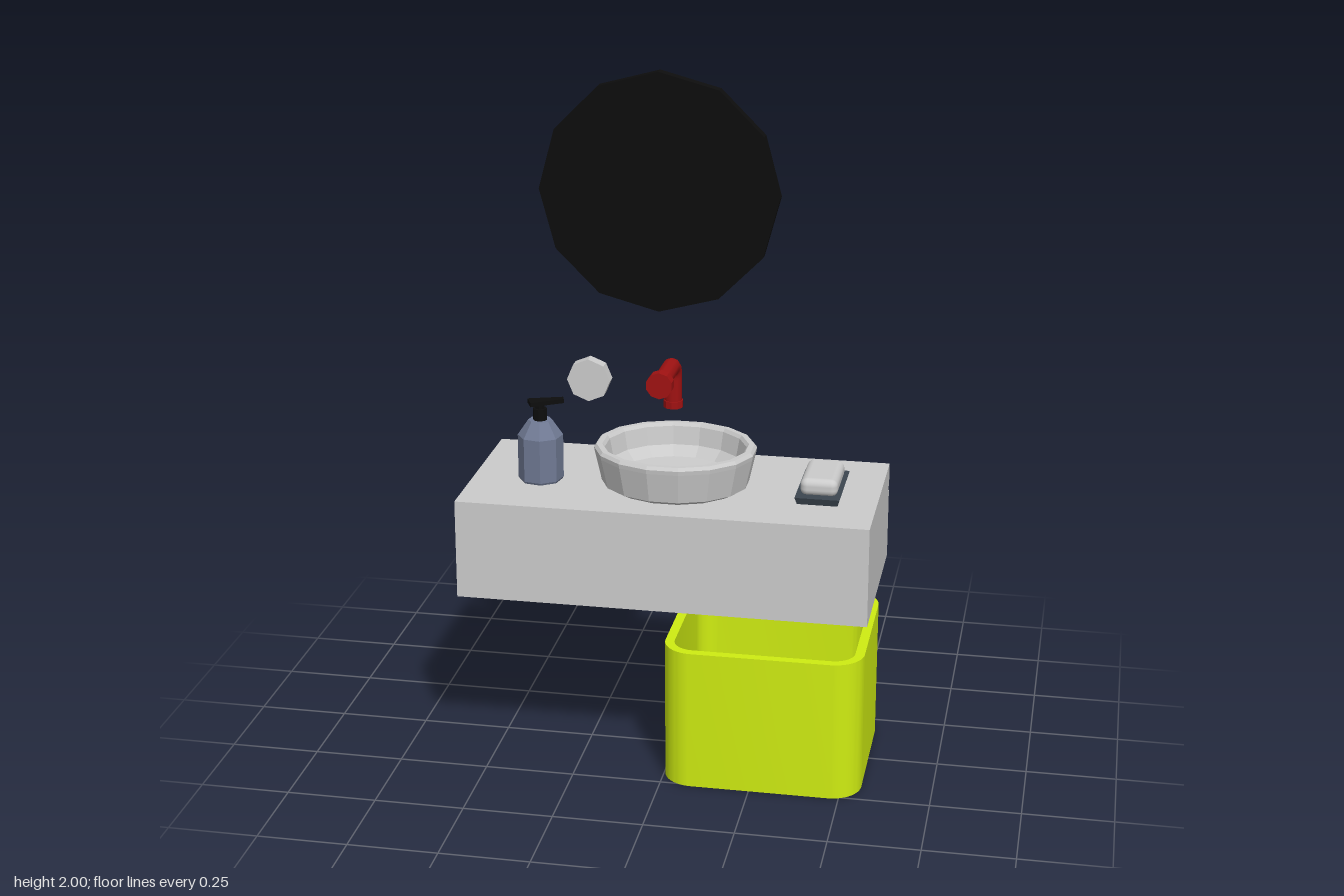
import * as THREE from 'three';
import { toCreasedNormals } from 'three/addons/utils/BufferGeometryUtils.js';
import { RoundedBoxGeometry } from 'three/addons/geometries/RoundedBoxGeometry.js';

const material = (color, flatShading = true) =>
  new THREE.MeshStandardMaterial({ color, flatShading });

const GREY = material(0xcccccc);
const SMOOTH_GREY = material(0xcccccc, false);
const BLACK = material(0x0d0d0d);
const RED = material(0xa01212);
const SMOOTH_RED = material(0xa01212, false);
const SLATE = material(0x707a94);
const DARK = material(0x3c4650);
const GLASS = material(0x237399);
const LIME = material(0xcfed12, false);

const part = (parent, name, geometry, mat, x = 0, y = 0, z = 0) => {
  const mesh = new THREE.Mesh(geometry, mat);
  mesh.name = name;
  mesh.position.set(x, y, z);
  parent.add(mesh);
  return mesh;
};

const group = (parent, name) => {
  const g = new THREE.Group();
  g.name = name;
  parent.add(g);
  return g;
};

// Box given by its lower and upper corners
const block = (parent, name, mat, a, b) =>
  part(parent, name, new THREE.BoxGeometry(b[0] - a[0], b[1] - a[1], b[2] - a[2]), mat,
    (a[0] + b[0]) / 2, (a[1] + b[1]) / 2, (a[2] + b[2]) / 2);

const lathe = (points, sides, phase = 0) =>
  new THREE.LatheGeometry(points.map(p => new THREE.Vector2(...p)), sides, phase);

const roundedRect = (target, w, d, r) => {
  const x = w / 2, y = d / 2;
  target.moveTo(-x + r, -y);
  target.lineTo(x - r, -y);
  target.absarc(x - r, -y + r, r, -Math.PI / 2, 0);
  target.lineTo(x, y - r);
  target.absarc(x - r, y - r, r, 0, Math.PI / 2);
  target.lineTo(-x + r, y);
  target.absarc(-x + r, y - r, r, Math.PI / 2, Math.PI);
  target.lineTo(-x, -y + r);
  target.absarc(-x + r, -y + r, r, Math.PI, Math.PI * 1.5);
  return target;
};

// Upright prism from a plan shape (shape y runs towards -z)
const prism = (shape, depth) => new THREE.ExtrudeGeometry(shape,
  { depth, bevelEnabled: false, curveSegments: 8 }).rotateX(-Math.PI / 2);

function addCabinet(root) {
  const g = group(root, 'cabinet');
  block(g, 'countertop', GREY, [-0.568, 0.735, -0.26], [0.566, 0.8, 0.256]);
  block(g, 'cabinetBody', GREY, [-0.568, 0.52, -0.244], [0.566, 0.735, 0.256]);
  block(g, 'rightDrawer', GREY, [-0.568, 0.52, -0.26], [-0.007, 0.719, -0.244]);
  block(g, 'leftDrawer', GREY, [0.007, 0.52, -0.26], [0.566, 0.719, -0.244]);
}

function addBasin(root) {
  const g = group(root, 'basin');
  const bowl = lathe([
    [0, 0.802], [0.18, 0.802], [0.205, 0.815], [0.224, 0.9], [0.226, 0.912], [0.219, 0.921],
    [0.203, 0.921], [0.196, 0.912], [0.186, 0.86], [0.16, 0.832], [0.03, 0.826], [0, 0.826],
  ], 16, Math.PI / 16);
  bowl.scale(1, 1, 0.885);
  part(g, 'bowl', bowl, GREY, 0, 0, 0.018);
  part(g, 'drainRing', new THREE.TorusGeometry(0.023, 0.005, 6, 12).rotateX(Math.PI / 2),
    GREY, 0, 0.829, 0.025);
  part(g, 'drainPlug', new THREE.CylinderGeometry(0.013, 0.013, 0.008, 10), GREY, 0, 0.83, 0.025);
}

function addTap(root) {
  const g = group(root, 'tap');
  const v = (y, z) => new THREE.Vector3(0, y, z);
  const path = new THREE.CurvePath();
  path.add(new THREE.LineCurve3(v(1.165, 0.25), v(1.165, 0.095)));
  path.add(new THREE.QuadraticBezierCurve3(v(1.165, 0.095), v(1.165, 0.05), v(1.12, 0.05)));
  path.add(new THREE.LineCurve3(v(1.12, 0.05), v(1.045, 0.05)));
  part(g, 'spout', new THREE.TubeGeometry(path, 32, 0.024, 10), SMOOTH_RED);
  part(g, 'spoutTip', new THREE.CylinderGeometry(0.027, 0.027, 0.02, 10), RED, 0, 1.05, 0.05);
  part(g, 'wallFlange', new THREE.CylinderGeometry(0.036, 0.036, 0.032, 10).rotateX(Math.PI / 2),
    RED, 0, 1.165, 0.24);
  part(g, 'wallKnob', new THREE.CylinderGeometry(0.058, 0.058, 0.034, 8).rotateX(Math.PI / 2),
    GREY, -0.19, 1.17, 0.239);
}

function addMirror(root) {
  const g = group(root, 'mirror');
  g.position.set(0, 1.685, 0.256);
  // Profile height runs away from the wall, towards -z
  const frame = lathe([[0, 0], [0.315, 0], [0.315, 0.031], [0.272, 0.031], [0.272, 0.024]], 12);
  part(g, 'mirrorFrame', frame.rotateX(-Math.PI / 2), BLACK);
  part(g, 'mirrorGlass', lathe([[0.273, 0.025], [0, 0.025]], 12).rotateX(-Math.PI / 2), GLASS);
}

function addSoapDispenser(root) {
  const g = group(root, 'soapDispenser');
  g.position.set(-0.378, 0.8, 0.036);
  part(g, 'bottle', lathe([
    [0, 0], [0.06, 0], [0.063, 0.006], [0.063, 0.13], [0.033, 0.174], [0, 0.174],
  ], 8, Math.PI / 16), SLATE);
  part(g, 'collar', new THREE.CylinderGeometry(0.02, 0.02, 0.034, 8), BLACK, 0, 0.19, 0);
  part(g, 'pumpStem', new THREE.CylinderGeometry(0.013, 0.013, 0.03, 8), BLACK, 0, 0.208, 0);
  // Wedge-shaped pump head, narrowing towards the nozzle
  const head = new THREE.Shape([[-0.037, 0.008], [-0.019, -0.031], [0.063, 0.021], [0.057, 0.04]]
    .map(p => new THREE.Vector2(...p)));
  part(g, 'pumpHead', prism(head, 0.012), BLACK, 0, 0.218, 0);
}

function addSoap(root) {
  const g = group(root, 'soapDish');
  g.position.set(0.406, 0.8, -0.008);
  // Dish flares out towards the top
  const dish = new THREE.BoxGeometry(0.123, 0.02, 0.236);
  const p = dish.attributes.position;
  for (let i = 0; i < p.count; i++) {
    if (p.getY(i) < 0) p.setXYZ(i, p.getX(i) * 0.9, p.getY(i), p.getZ(i) * 0.94);
  }
  part(g, 'dish', dish, DARK, 0, 0.01, 0);
  part(g, 'soapBar', new RoundedBoxGeometry(0.103, 0.05, 0.182, 3, 0.02), SMOOTH_GREY, 0, 0.039, 0);
}

function addBin(root) {
  const g = group(root, 'bin');
  g.position.set(0.278, 0, 0.003);
  const w = 0.553, d = 0.514, r = 0.085, t = 0.026;
  const wall = roundedRect(new THREE.Shape(), w, d, r);
  wall.holes.push(roundedRect(new THREE.Path(), w - 2 * t, d - 2 * t, r - t));
  part(g, 'binWall', toCreasedNormals(prism(wall, 0.402), 0.6), LIME);
  const floor = roundedRect(new THREE.Shape(), w - 2 * t, d - 2 * t, r - t);
  part(g, 'binFloor', prism(floor, 0.025), LIME);
}

export function createModel() {
  const root = new THREE.Group();
  root.name = 'washstand';
  [addCabinet, addBasin, addTap, addMirror, addSoapDispenser, addSoap, addBin].forEach(add => add(root));
  return root;
}
